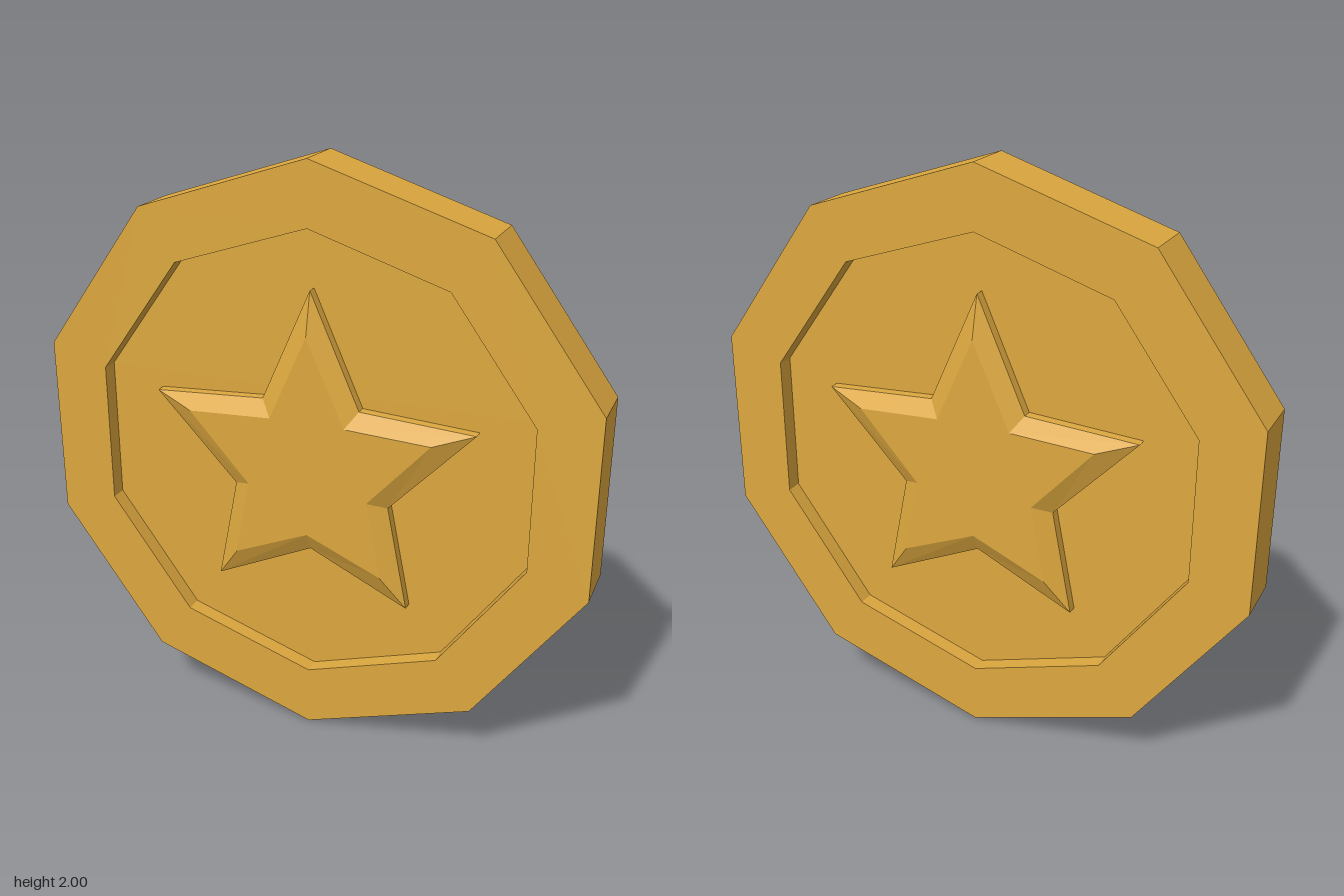
import * as THREE from 'three';

const SIDES = 10;
const RIM_HALF = 0.0975;   // half thickness of the rim
const FLOOR_HALF = 0.04;   // half thickness of the recessed disc

// Regular polygon outline with one corner at the top
function polygon(radius) {
  return Array.from({ length: SIDES }, (_, i) => {
    const a = Math.PI / 2 + (i / SIDES) * Math.PI * 2;
    return new THREE.Vector2(radius * Math.cos(a), radius * Math.sin(a));
  });
}

// Five-pointed star ring at depth z; the notches sit slightly low
function starRing(outer, inner, z) {
  return Array.from({ length: 10 }, (_, i) => {
    const a = Math.PI / 2 + (i / 10) * Math.PI * 2;
    const notch = i % 2 === 1;
    const r = notch ? inner : outer;
    return new THREE.Vector3(r * Math.cos(a), r * Math.sin(a) - (notch ? 0.027 : 0), z);
  });
}

// Upright wall, sloping bevel and flat cap
function starGeometry() {
  const rings = [
    starRing(0.588, 0.288, FLOOR_HALF - 0.005),
    starRing(0.588, 0.288, 0.075),
    starRing(0.445, 0.222, 0.11),
  ];
  const centre = new THREE.Vector3(0, 0, 0.11);
  const points = [];
  for (let i = 0; i < 10; i++) {
    const j = (i + 1) % 10;
    for (let k = 0; k < 2; k++) {
      const [lo, hi] = [rings[k], rings[k + 1]];
      points.push(lo[i], lo[j], hi[j], lo[i], hi[j], hi[i]);
    }
    points.push(centre, rings[2][i], rings[2][j]);
  }
  const geometry = new THREE.BufferGeometry().setFromPoints(points);
  geometry.computeVertexNormals();
  return geometry;
}

function extruded(shape, half) {
  return new THREE.ExtrudeGeometry(shape, { depth: half * 2, bevelEnabled: false }).translate(0, 0, -half);
}

export function createModel() {
  const gold = new THREE.MeshStandardMaterial({ color: 0xdda83f, flatShading: true });
  const coin = new THREE.Group();
  coin.name = 'coin';
  const add = (name, geometry) => {
    const mesh = new THREE.Mesh(geometry, gold);
    mesh.name = name;
    coin.add(mesh);
    return mesh;
  };

  // Raised outer rim
  const rimShape = new THREE.Shape(polygon(1));
  rimShape.holes.push(new THREE.Path(polygon(0.788).reverse()));
  add('rim', extruded(rimShape, RIM_HALF));

  // Recessed disc inside the rim
  add('recessedDisc', extruded(new THREE.Shape(polygon(0.788)), FLOOR_HALF));

  // Bevelled star on both faces
  const star = starGeometry();
  add('frontStar', star);
  add('backStar', star).rotation.y = Math.PI;

  // Stand the coin on the ground, turned slightly
  coin.position.y = 1;
  coin.rotation.y = 0.096;

  const model = new THREE.Group();
  model.name = 'starCoin';
  model.add(coin);
  return model;
}
